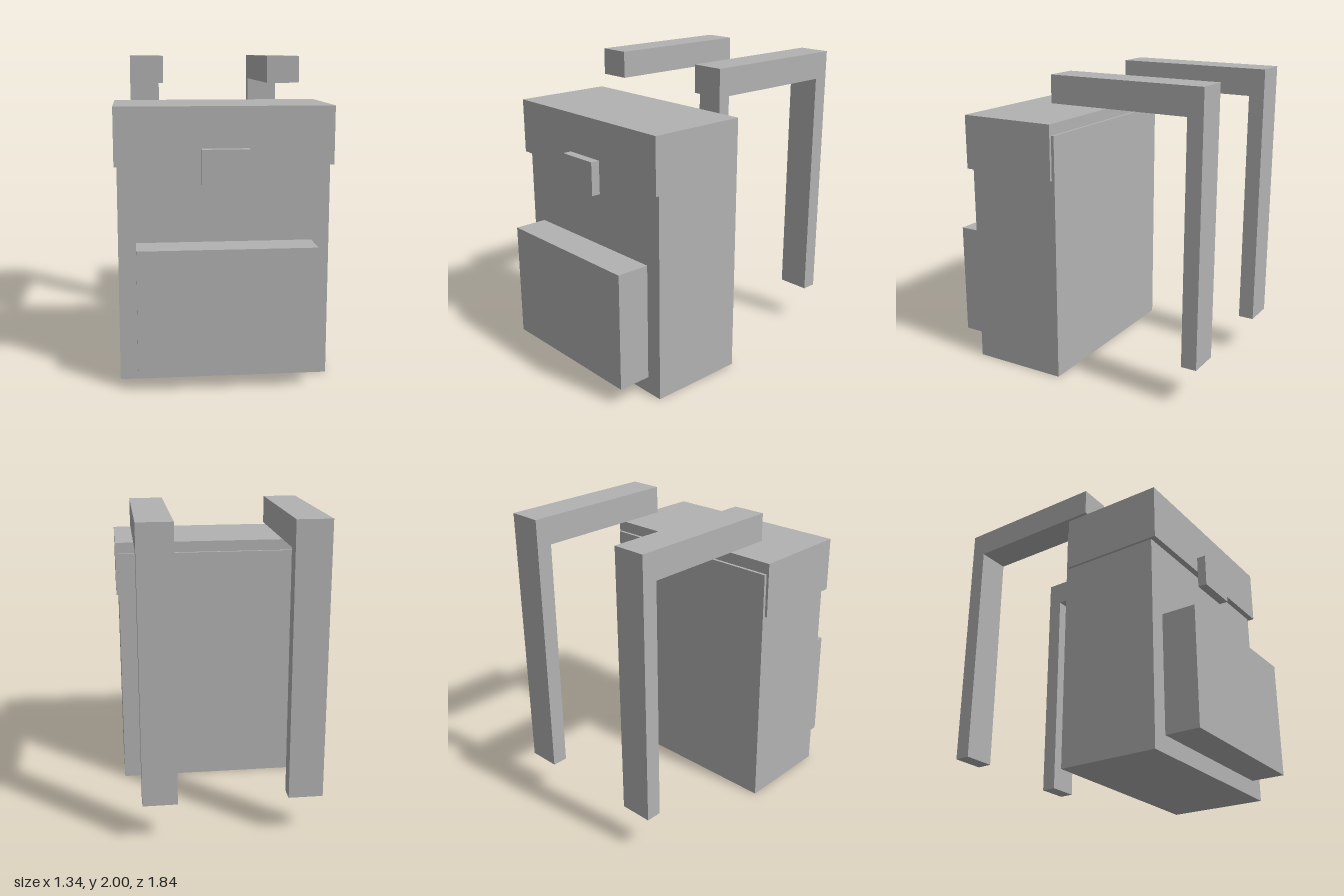
import * as THREE from 'three';

export function createModel() {
  const model = new THREE.Group();
  model.name = 'backpack';

  const grey = new THREE.MeshStandardMaterial({ color: 0xb2b2b2 });
  grey.name = 'plain grey';

  // Box centred on x = 0, given by half width and its y and z ranges
  function addBox(name, halfWidth, y0, y1, z0, z1) {
    const mesh = new THREE.Mesh(new THREE.BoxGeometry(halfWidth * 2, y1 - y0, z1 - z0), grey);
    mesh.name = name;
    mesh.position.set(0, (y0 + y1) / 2, (z0 + z1) / 2);
    model.add(mesh);
  }

  addBox('body', 0.654, 0, 1.637, 0.046, 0.698);
  addBox('topFlap', 0.671, 1.35, 1.71, 0.066, 0.736);
  addBox('buckle', 0.145, 1.24, 1.456, 0.736, 0.795);
  addBox('frontPocket', 0.544, 0.11, 0.875, 0.698, 0.92);

  // Shoulder straps: an L profile in the z-y plane, extruded across x
  const profile = new THREE.Shape([
    [-0.92, 0.26], [-0.817, 0.26], [-0.817, 1.822], [0.12, 1.822], [0.12, 2], [-0.92, 2],
  ].map(([z, y]) => new THREE.Vector2(-z, y)));
  const strapWidth = 0.217;
  const strapGeometry = new THREE.ExtrudeGeometry(profile, { depth: strapWidth, bevelEnabled: false });
  strapGeometry.translate(0, 0, -strapWidth / 2);
  strapGeometry.rotateY(Math.PI / 2); // shape x becomes -z, depth becomes x

  for (const [name, side] of [['leftStrap', 1], ['rightStrap', -1]]) {
    const strap = new THREE.Mesh(strapGeometry, grey);
    strap.name = name;
    strap.position.x = side * 0.455;
    model.add(strap);
  }

  return model;
}
